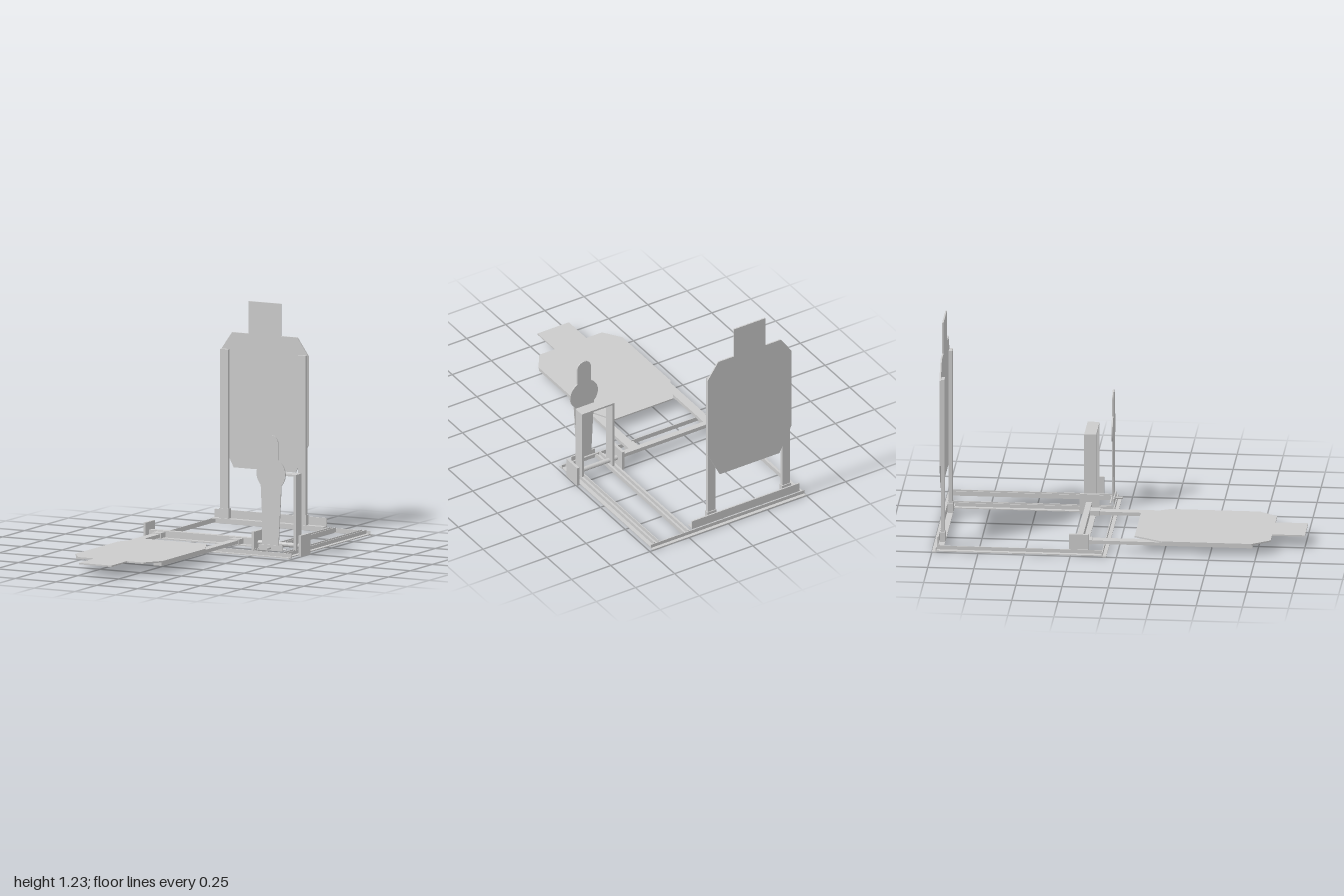
import * as THREE from 'three';

const material = new THREE.MeshStandardMaterial({ color: 0xcccccc, flatShading: true });

export function createModel() {
  const model = new THREE.Group();

  const add = (name, geometry, parent = model) => {
    const mesh = new THREE.Mesh(geometry, material);
    mesh.name = name;
    parent.add(mesh);
    return mesh;
  };

  // Box given by its limits on each axis
  const box = (name, x0, x1, y0, y1, z0, z1, parent) => {
    const mesh = add(name, new THREE.BoxGeometry(x1 - x0, y1 - y0, z1 - z0), parent);
    mesh.position.set((x0 + x1) / 2, (y0 + y1) / 2, (z0 + z1) / 2);
    return mesh;
  };

  // Round bar along x or z
  const rod = (name, radius, length, axis, x, y, z) => {
    const mesh = add(name, new THREE.CylinderGeometry(radius, radius, length, 16));
    if (axis === 'x') mesh.rotation.z = Math.PI / 2;
    else mesh.rotation.x = Math.PI / 2;
    mesh.position.set(x, y, z);
  };

  const T = 0.005; // steel thickness

  // Base frame: front and back angles with the flange outward
  box('frontFlange', -0.5, 0.48, 0, T, -0.08, -0.055);
  box('frontWeb', -0.5, 0.48, 0, 0.025, -0.08, -0.075);
  box('backFlange', -0.5, 0.48, 0, T, -1, -0.975);
  box('backWeb', -0.5, 0.48, 0, 0.025, -0.98, -0.975);

  // Side and middle rails: flange limits and the x of the upright web
  const rails = [
    [-0.5, -0.47, -0.475],
    [0.215, 0.243, 0.238],
    [0.243, 0.27, 0.265],
    [0.425, 0.452, 0.425],
    [0.452, 0.48, 0.452],
  ];
  for (const [x0, x1, web] of rails) {
    box('railFlange', x0, x1, T, 2 * T, -0.975, -0.08);
    box('railWeb', web, web + T, T, 0.03, -0.975, -0.08);
  }

  // Back crossbar that carries the standing target
  box('backCrossbarWeb', -0.47, 0.215, 0.03, 0.078, -0.975, -0.967);
  box('backCrossbarFlange', -0.47, 0.215, 0.028, 0.034, -0.975, -0.935);

  // Front pivot bar with its end plates
  box('pivotBarWeb', -0.46, 0.2, 0.03, 0.072, -0.2, -0.193);
  box('pivotBarTop', -0.46, 0.2, 0.066, 0.072, -0.225, -0.193);
  box('pivotBarLedge', -0.46, 0.2, 0.03, 0.036, -0.193, -0.163);
  for (const x of [-0.47, 0.195, 0.483]) {
    box('pivotPlate', x, x + 0.015, 0, 0.115, -0.26, -0.153);
  }
  rod('pivotRod', 0.013, 0.285, 'x', 0.345, 0.05, -0.205);

  // Large target: plate, two posts and their sockets, hinged at its local origin
  const half = [[0.19, 0.245], [0.268, 0.4], [0.268, 0.885], [0.2, 0.983], [0.1, 0.983], [0.1, 1.16]];
  const outline = [...half, ...half.map(([x, y]) => [-x, y]).reverse()];
  const plateShape = new THREE.Shape(outline.map(([x, y]) => new THREE.Vector2(x, y)));
  const makeTarget = (name) => {
    const target = new THREE.Group();
    target.name = name;
    const plate = add('targetPlate',
      new THREE.ExtrudeGeometry(plateShape, { depth: 0.008, bevelEnabled: false }), target);
    plate.position.z = -0.008;
    for (const x of [-0.238, 0.238]) {
      box('post', x - 0.024, x + 0.024, -0.005, 0.89, 0, 0.019, target);
      box('postSocket', x - 0.029, x + 0.029, -0.035, 0.02, -0.005, 0.023, target);
    }
    model.add(target);
    return target;
  };
  makeTarget('standingTarget').position.set(-0.159, 0.07, -0.958);
  const fallen = makeTarget('fallenTarget');
  fallen.position.set(-0.145, 0.062, -0.16);
  fallen.rotation.x = Math.PI / 2;

  // Small figure target with round head and shoulders
  const figure = new THREE.Shape();
  figure.moveTo(-0.045, 0.04);
  figure.lineTo(0.045, 0.04);
  figure.lineTo(0.063, 0.388);
  figure.absarc(0, 0.45, 0.088, -0.78, 1.06, false);
  figure.lineTo(0.043, 0.62);
  figure.absarc(0, 0.62, 0.043, 0, Math.PI, false);
  figure.lineTo(-0.043, 0.527);
  figure.absarc(0, 0.45, 0.088, Math.PI - 1.06, Math.PI + 0.78, false);
  figure.closePath();
  const figurePlate = add('figurePlate',
    new THREE.ExtrudeGeometry(figure, { depth: 0.007, bevelEnabled: false, curveSegments: 20 }));
  figurePlate.position.set(0.348, 0, -0.094);

  // Hinge, bracket and bolt at the foot of the figure
  box('figureBracket', 0.275, 0.423, 0.032, 0.063, -0.087, -0.08);
  rod('figureHinge', 0.005, 0.17, 'x', 0.35, 0.04, -0.1);
  rod('figureBolt', 0.006, 0.04, 'z', 0.348, 0.047, -0.06);

  // Upright guard frame behind the figure
  for (const x of [0.245, 0.441]) box('guardLeg', x, x + 0.014, 0.03, 0.44, -0.24, -0.175);
  box('guardTop', 0.259, 0.441, 0.43, 0.44, -0.24, -0.175);

  return model;
}
